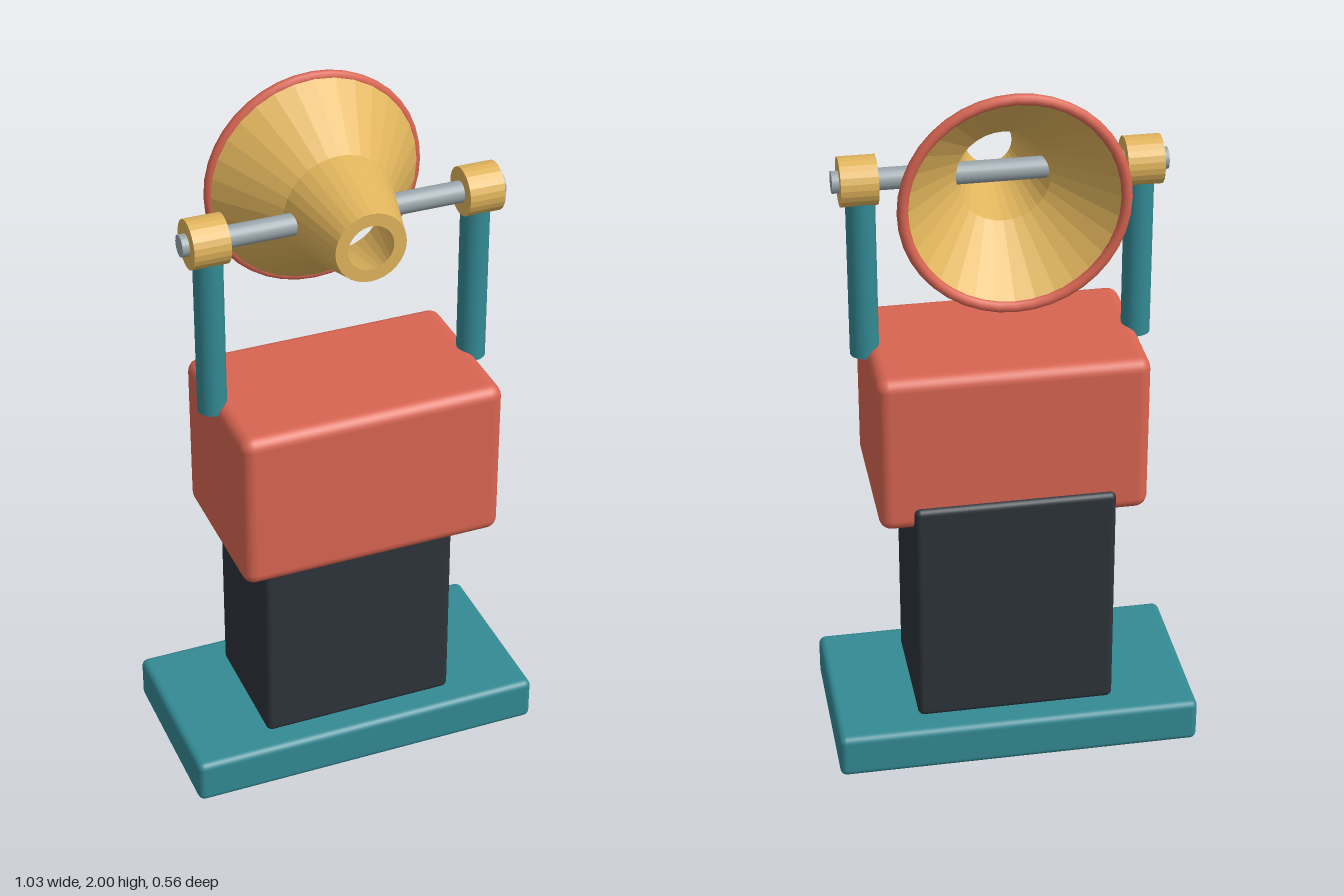
import * as THREE from 'three';
import { RoundedBoxGeometry } from 'three/addons/geometries/RoundedBoxGeometry.js';

function material(name, color, flatShading = false) {
  const m = new THREE.MeshStandardMaterial({ color, flatShading });
  m.name = name;
  return m;
}

export function createModel() {
  const model = new THREE.Group();
  model.name = 'hornOnStand';

  const teal = material('teal', 0x338a94);
  const red = material('coralRed', 0xd96552);
  const charcoal = material('charcoal', 0x2d343a);
  const gold = material('gold', 0xe0b45c, true);
  const steel = material('steel', 0x9aa6ac);

  const add = (name, geometry, mat, x = 0, y = 0, z = 0) => {
    const mesh = new THREE.Mesh(geometry, mat);
    mesh.name = name;
    mesh.position.set(x, y, z);
    model.add(mesh);
    return mesh;
  };

  // Rounded block given by its half width and its y and z ranges
  const block = (name, mat, halfW, y0, y1, z0, z1, radius) =>
    add(name, new RoundedBoxGeometry(2 * halfW, y1 - y0, z1 - z0, 3, radius), mat,
      0, (y0 + y1) / 2, (z0 + z1) / 2);

  block('base', teal, 0.515, 0, 0.13, -0.28, 0.248, 0.02);
  block('pedestal', charcoal, 0.28, 0.125, 0.81, -0.203, 0.172, 0.018);
  block('body', red, 0.373, 0.74, 1.207, -0.187, 0.28, 0.035);

  // Yoke: two posts with collars, carrying the axle
  const axisY = 1.692, axisZ = 0.046;
  for (const [side, s] of [['left', 1], ['right', -1]]) {
    add(side + 'Post', new THREE.CylinderGeometry(0.04, 0.04, 0.47, 24), teal,
      s * 0.375, 1.415, axisZ);
    add(side + 'Collar', new THREE.CylinderGeometry(0.067, 0.067, 0.1, 24).rotateZ(Math.PI / 2),
      gold, s * 0.381, axisY, axisZ);
  }
  add('axle', new THREE.CylinderGeometry(0.03, 0.03, 0.9, 20).rotateZ(Math.PI / 2), steel,
    0, axisY, axisZ);

  // Hollow horn: outer wall to the narrow mouth, then back along the inner wall
  const profile = [
    [0.3, -0.168], [0.155, 0.015], [0.098, 0.235],
    [0.063, 0.235], [0.128, 0.005], [0.28, -0.174], [0.3, -0.168],
  ].map(([r, z]) => new THREE.Vector2(r, z));
  add('horn', new THREE.LatheGeometry(profile, 32).rotateX(Math.PI / 2), gold, 0, axisY, 0);
  add('hornRim', new THREE.TorusGeometry(0.293, 0.015, 10, 40), red, 0, axisY, -0.173);

  return model;
}
